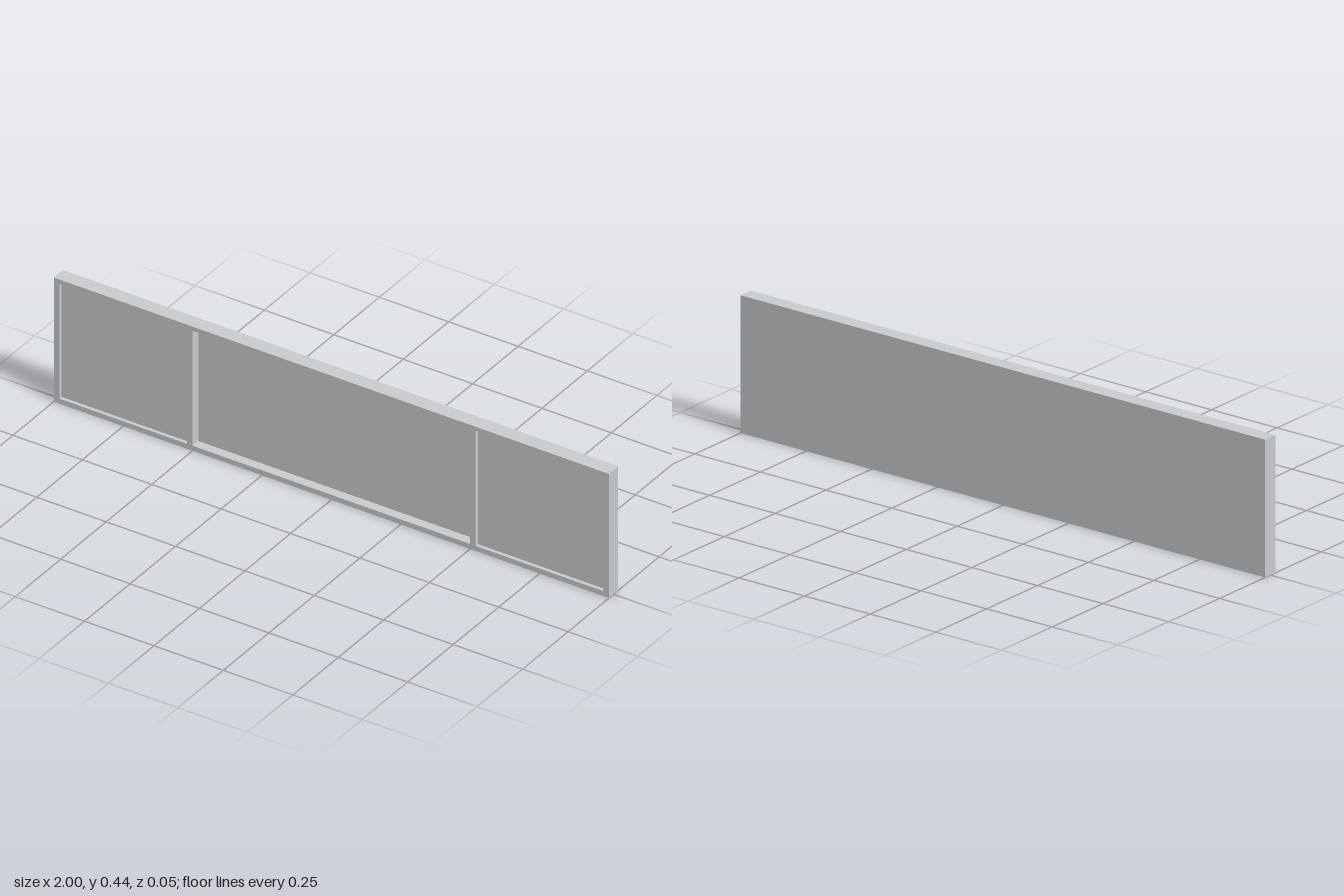
import * as THREE from 'three';

const W = 2, H = 0.444, D = 0.051, RIM = 0.018;

export function createModel() {
  const group = new THREE.Group();
  const material = new THREE.MeshStandardMaterial({ color: 0xcccccc, flatShading: true });

  // rectangular opening in the frame
  const opening = (x0, x1) => new THREE.Path([
    new THREE.Vector2(x0, RIM), new THREE.Vector2(x0, H - RIM + 0.003),
    new THREE.Vector2(x1, H - RIM + 0.003), new THREE.Vector2(x1, RIM),
  ]);

  // outer frame with the two uprights
  const outline = new THREE.Shape([
    new THREE.Vector2(-W / 2, 0), new THREE.Vector2(W / 2, 0),
    new THREE.Vector2(W / 2, H), new THREE.Vector2(-W / 2, H),
  ]);
  outline.holes.push(opening(-0.98, -0.52), opening(-0.5, 0.5), opening(0.52, 0.98));
  const frame = new THREE.Mesh(
    new THREE.ExtrudeGeometry(outline, { depth: D, bevelEnabled: false }), material);
  frame.position.z = -D / 2;
  frame.name = 'frame';
  group.add(frame);

  // panels filling the openings from the back up to their recess depth
  const panel = (name, x0, x1, recess) => {
    const depth = D - recess;
    const mesh = new THREE.Mesh(
      new THREE.BoxGeometry(x1 - x0, H - 2 * RIM + 0.003, depth), material);
    mesh.position.set((x0 + x1) / 2, H / 2 + 0.0015, -D / 2 + depth / 2);
    mesh.name = name;
    group.add(mesh);
  };
  panel('rightPanel', -0.98, -0.52, 0.012);
  panel('centrePanel', -0.5, 0.5, 0.032);
  panel('leftPanel', 0.52, 0.98, 0.012);

  return group;
}
